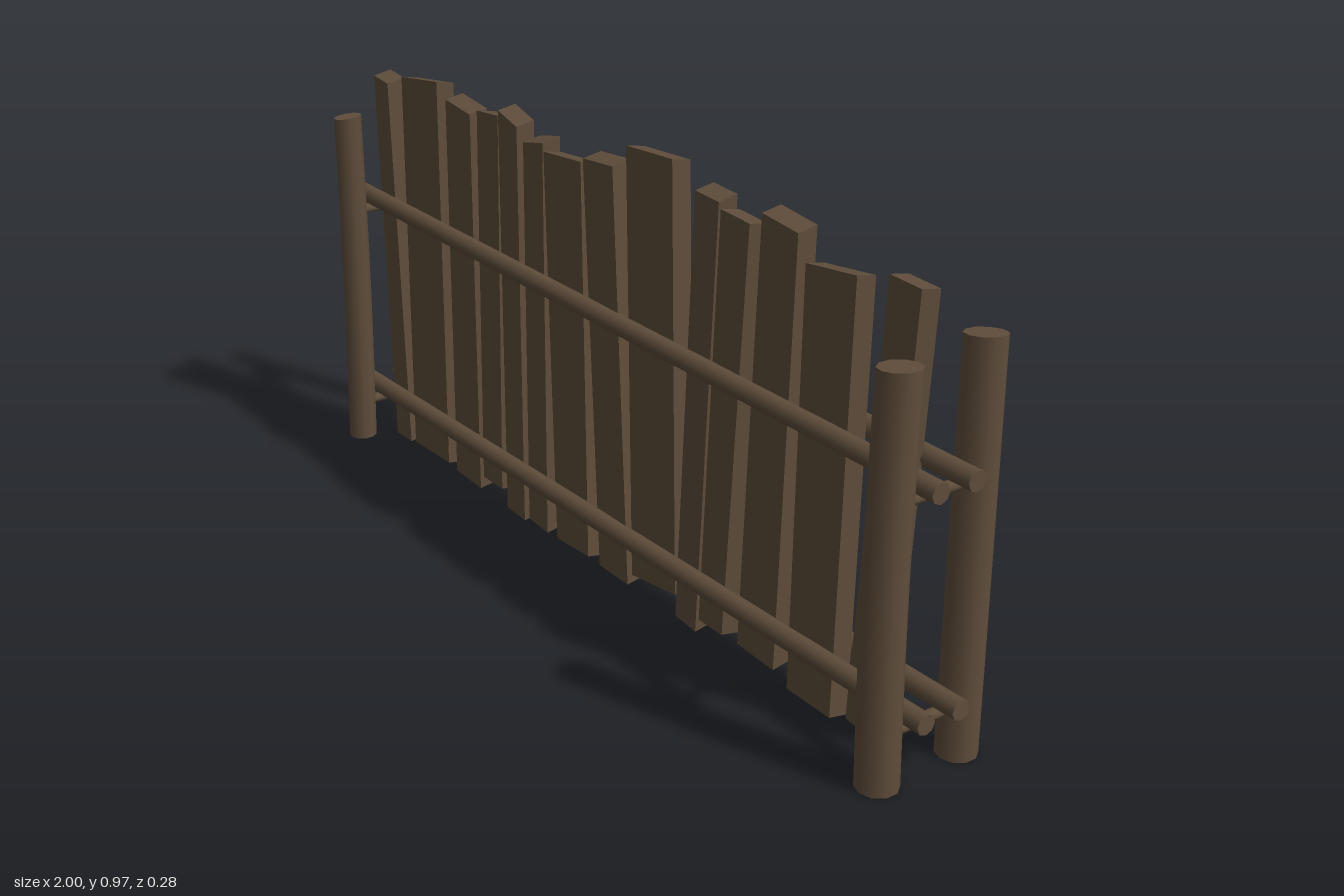
import * as THREE from 'three';

// Weathered plank fence held between paired posts and rails
export function createModel() {
  const wood = new THREE.MeshStandardMaterial({ color: 0x5f4d3b });
  wood.name = 'weatheredWood';
  const fence = new THREE.Group();
  fence.name = 'fence';

  const add = (name, geometry) => {
    const mesh = new THREE.Mesh(geometry, wood);
    mesh.name = name;
    fence.add(mesh);
    return mesh;
  };

  // Round bar running between two points
  const bar = (name, a, b, radius, sides = 8) => {
    const from = new THREE.Vector3(...a), to = new THREE.Vector3(...b);
    const dir = to.clone().sub(from);
    const mesh = add(name, new THREE.CylinderGeometry(radius, radius, dir.length(), sides));
    mesh.position.copy(from).add(to).multiplyScalar(0.5);
    mesh.quaternion.setFromUnitVectors(new THREE.Vector3(0, 1, 0), dir.normalize());
  };

  // Upright log that bows along its height and has a slanted top
  const post = (name, x, z, radius, height, bowX, bowZ, slantX, slantZ) => {
    const g = new THREE.CylinderGeometry(radius * 0.97, radius, height, 10, 6);
    g.translate(0, height / 2, 0);
    const p = g.attributes.position;
    for (let i = 0; i < p.count; i++) {
      const t = p.getY(i) / height, px = p.getX(i), pz = p.getZ(i);
      const bow = Math.sin(Math.PI * t);
      p.setXYZ(i, px + bowX * bow, p.getY(i) + (t > 0.99 ? px * slantX + pz * slantZ : 0), pz + bowZ * bow);
    }
    add(name, g).position.set(x, 0, z);
  };

  // Plank: top edge [left, right, y left, y right], bottom edge likewise, centre z
  const plank = (top, bottom, z, twist) => {
    const g = new THREE.BoxGeometry(1, 1, 0.044);
    const p = g.attributes.position;
    for (let i = 0; i < p.count; i++) {
      const edge = p.getY(i) > 0 ? top : bottom;
      const side = p.getX(i) > 0 ? 1 : 0;
      const depth = p.getZ(i);
      p.setXYZ(i, edge[side], edge[2 + side] + (depth > 0 ? -0.004 : 0.004) * Math.sign(twist),
        depth + z + twist * (side - 0.5));
    }
    g.computeVertexNormals();
    add('plank', g);
  };

  const planks = [
    [[-0.94, -0.87, 0.905, 0.9], [-0.9, -0.825, 0.01, 0.014], 0.004, 0.004],
    [[-0.81, -0.66, 0.92, 0.938], [-0.81, -0.66, 0.01, 0.008], 0, -0.004],
    [[-0.62, -0.51, 0.915, 0.905], [-0.62, -0.505, 0.012, 0.01], 0.002, 0.005],
    [[-0.49, -0.41, 0.91, 0.915], [-0.5, -0.425, 0.032, 0.03], -0.003, -0.003],
    [[-0.4, -0.32, 0.938, 0.92], [-0.395, -0.315, 0.004, 0.004], 0.003, 0.005],
    [[-0.31, -0.23, 0.888, 0.905], [-0.31, -0.23, 0.008, 0.006], -0.002, 0.004],
    [[-0.22, -0.09, 0.882, 0.89], [-0.185, -0.07, 0.005, 0.006], 0.002, -0.004],
    [[-0.075, 0.035, 0.91, 0.92], [-0.02, 0.09, 0.016, 0.018], 0.007, 0.005],
    [[0.065, 0.21, 0.96, 0.966], [0.09, 0.235, 0.03, 0.045], -0.004, -0.004],
    [[0.285, 0.365, 0.932, 0.93], [0.24, 0.315, 0.008, 0.006], -0.001, 0.006],
    [[0.375, 0.455, 0.912, 0.904], [0.33, 0.4, 0.034, 0.03], 0.003, -0.004],
    [[0.485, 0.59, 0.94, 0.93], [0.445, 0.56, 0.038, 0.034], -0.001, 0.003],
    [[0.62, 0.75, 0.877, 0.89], [0.61, 0.73, 0.012, 0.006], 0.005, -0.004],
    [[0.825, 0.9, 0.914, 0.908], [0.77, 0.845, 0.024, 0.012], -0.003, -0.004],
  ];
  planks.forEach((args) => plank(...args));

  // Long rails on both faces
  for (const z of [0.042, -0.042]) {
    bar('upperRail', [-1, 0.612, z], [1, 0.585, z], 0.021);
    bar('lowerRail', [-1, 0.125, z], [1, 0.138, z], 0.021);
  }

  // Short pegs joining each pair of posts under the rails
  for (const [x, y] of [[-0.95, 0.58], [-0.95, 0.09], [0.94, 0.554], [0.94, 0.104]]) {
    bar('crossPeg', [x, y, 0.085], [x, y, -0.09], 0.012);
  }

  // Paired end posts
  post('frontLeftPost', -0.955, 0.091, 0.033, 0.81, 0.008, 0, 0.1, -0.1);
  post('backLeftPost', -0.952, -0.1, 0.029, 0.815, 0.004, -0.002, -0.1, 0.1);
  post('frontRightPost', 0.938, 0.093, 0.042, 0.805, 0, 0.006, 0.08, 0.03);
  post('backRightPost', 0.938, -0.101, 0.041, 0.822, 0, 0, 0.1, 0.08);

  return fence;
}
